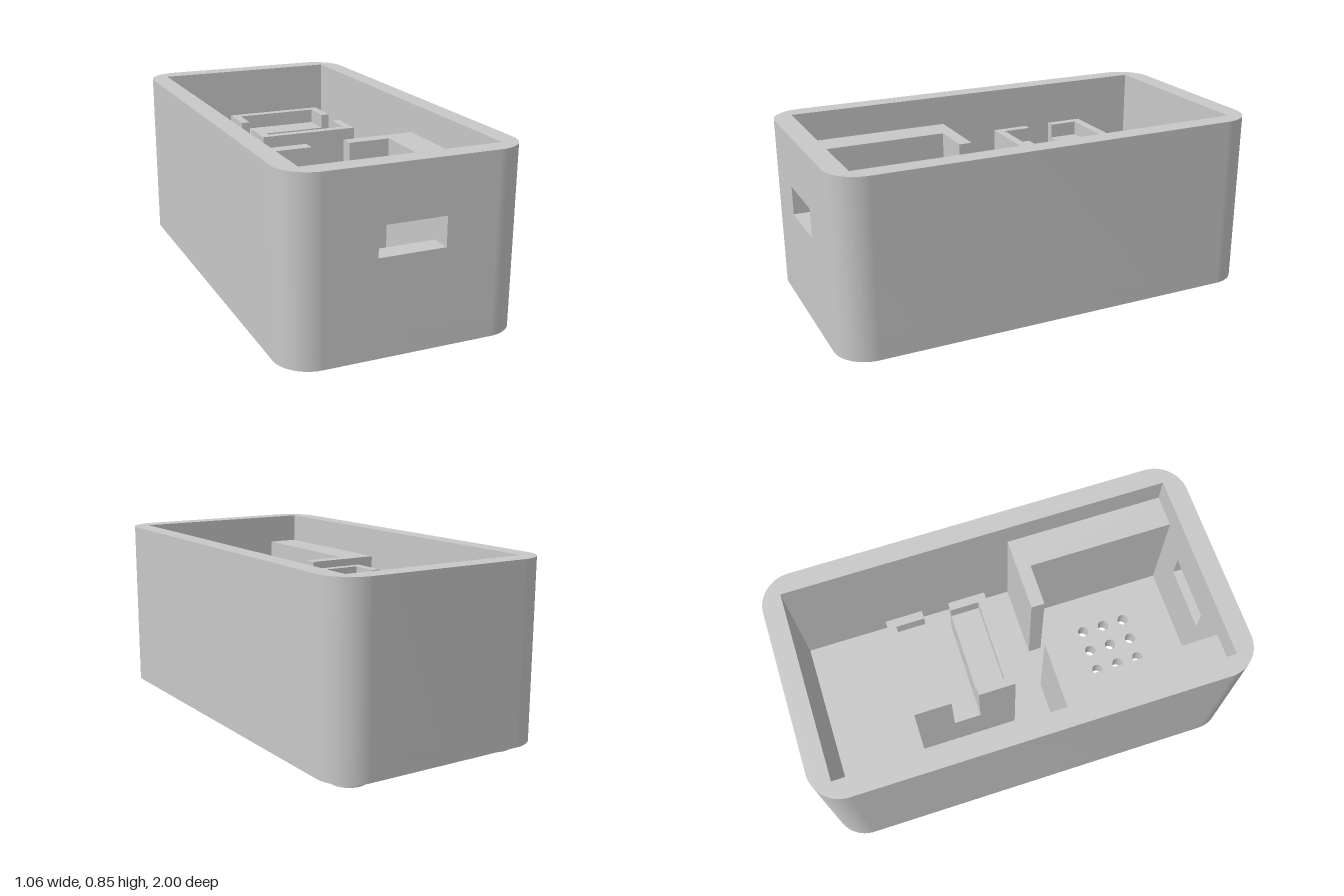
import * as THREE from 'three';
import { toCreasedNormals } from 'three/addons/utils/BufferGeometryUtils.js';

const W = 0.532, L = 1, R = 0.152;         // outer half width, half length, corner radius
const IW = 0.443, IL = 0.907;              // cavity half width and half length
const BASE = 0.04, FLOOR = 0.13, TOP = 0.845, RIB = 0.706;

export function createModel() {
  const model = new THREE.Group();
  const grey = new THREE.MeshStandardMaterial({ color: 0xc8c8c8 });
  grey.name = 'grey plastic';

  const add = (name, geometry) => {
    const mesh = new THREE.Mesh(geometry, grey);
    mesh.name = name;
    model.add(mesh);
    return mesh;
  };

  // Extrude a plan shape (shape y = -z) upward from y0 to y1
  const rise = (name, shape, y0, y1) => {
    const g = new THREE.ExtrudeGeometry(shape, { depth: y1 - y0, bevelEnabled: false, curveSegments: 16 });
    g.rotateX(-Math.PI / 2).translate(0, y0, 0);
    return add(name, toCreasedNormals(g, 0.5));
  };

  // Plan polygon from [x, z] points
  const plan = (points) => new THREE.Shape(points.map(([x, z]) => new THREE.Vector2(x, -z)));

  const block = (name, x0, x1, y0, y1, z0, z1) => {
    const g = new THREE.BoxGeometry(x1 - x0, y1 - y0, z1 - z0);
    g.translate((x0 + x1) / 2, (y0 + y1) / 2, (z0 + z1) / 2);
    return add(name, g);
  };

  // Rounded outline, from front left corner round to front right corner
  const outline = () => {
    const s = new THREE.Shape(), cx = W - R, cy = L - R, q = Math.PI / 2;
    s.moveTo(cx, -L);
    s.absarc(cx, -cy, R, -q, 0);
    s.absarc(cx, cy, R, 0, q);
    s.absarc(-cx, cy, R, q, 2 * q);
    s.absarc(-cx, -cy, R, 2 * q, 3 * q);
    return s;
  };

  // Floor with a grid of vent holes
  const floor = outline();
  for (const x of [-0.108, 0, 0.108]) {
    for (const z of [0.452, 0.56, 0.668]) {
      const hole = new THREE.Path();
      hole.absarc(x, -z, 0.026, 0, Math.PI * 2, true);
      floor.holes.push(hole);
    }
  }
  rise('floor', floor, BASE, FLOOR);

  // Side and back walls, open between the front corners
  const walls = outline();
  const cx = W - R;
  for (const [x, y] of [[-cx, -IL], [-IW, -IL], [-IW, IL], [IW, IL], [IW, -IL], [cx, -IL]]) walls.lineTo(x, y);
  rise('sideWalls', walls, FLOOR, TOP);

  // Front wall with a cable slot
  const rect = (T, x, y0, y1) => new T([[-x, y0], [x, y0], [x, y1], [-x, y1]].map(([a, b]) => new THREE.Vector2(a, b)));
  const front = rect(THREE.Shape, cx, FLOOR, TOP);
  front.holes.push(rect(THREE.Path, 0.15, 0.47, 0.602));
  const frontGeometry = new THREE.ExtrudeGeometry(front, { depth: L - IL, bevelEnabled: false });
  add('frontWall', frontGeometry.translate(0, 0, IL));

  // L-shaped inner partitions, with a gap between them
  for (const s of [-1, 1]) {
    rise(s > 0 ? 'leftPartition' : 'rightPartition', plan([
      [s * 0.093, 0.152], [s * IW, 0.152], [s * IW, IL],
      [s * 0.293, IL], [s * 0.293, 0.215], [s * 0.093, 0.215],
    ]), FLOOR, RIB);
  }

  // Component holder: two facing trays joined by a lower bridge
  const mid = -0.265, ox = 0.232, ix = 0.193, shelf = 0.64;
  block('holderBridge', -ox, ox, FLOOR, 0.4, mid - 0.063, mid + 0.063);
  for (const s of [-1, 1]) {
    const a = mid + s * 0.063, b = mid + s * 0.194, c = mid + s * 0.234;
    const name = s > 0 ? 'frontHolder' : 'backHolder';
    block(name + 'Base', -ox, ox, FLOOR, shelf, Math.min(a, c), Math.max(a, c));
    rise(name + 'Rim', plan([
      [-ox, a], [-ix, a], [-ix, b], [ix, b], [ix, a], [ox, a], [ox, c], [-ox, c],
    ]), shelf, RIB);
  }

  // Round feet
  for (const x of [-0.38, 0.38]) {
    for (const z of [-0.847, 0.847]) {
      add('foot', new THREE.CylinderGeometry(0.077, 0.077, BASE, 40)).position.set(x, BASE / 2, z);
    }
  }

  return model;
}
